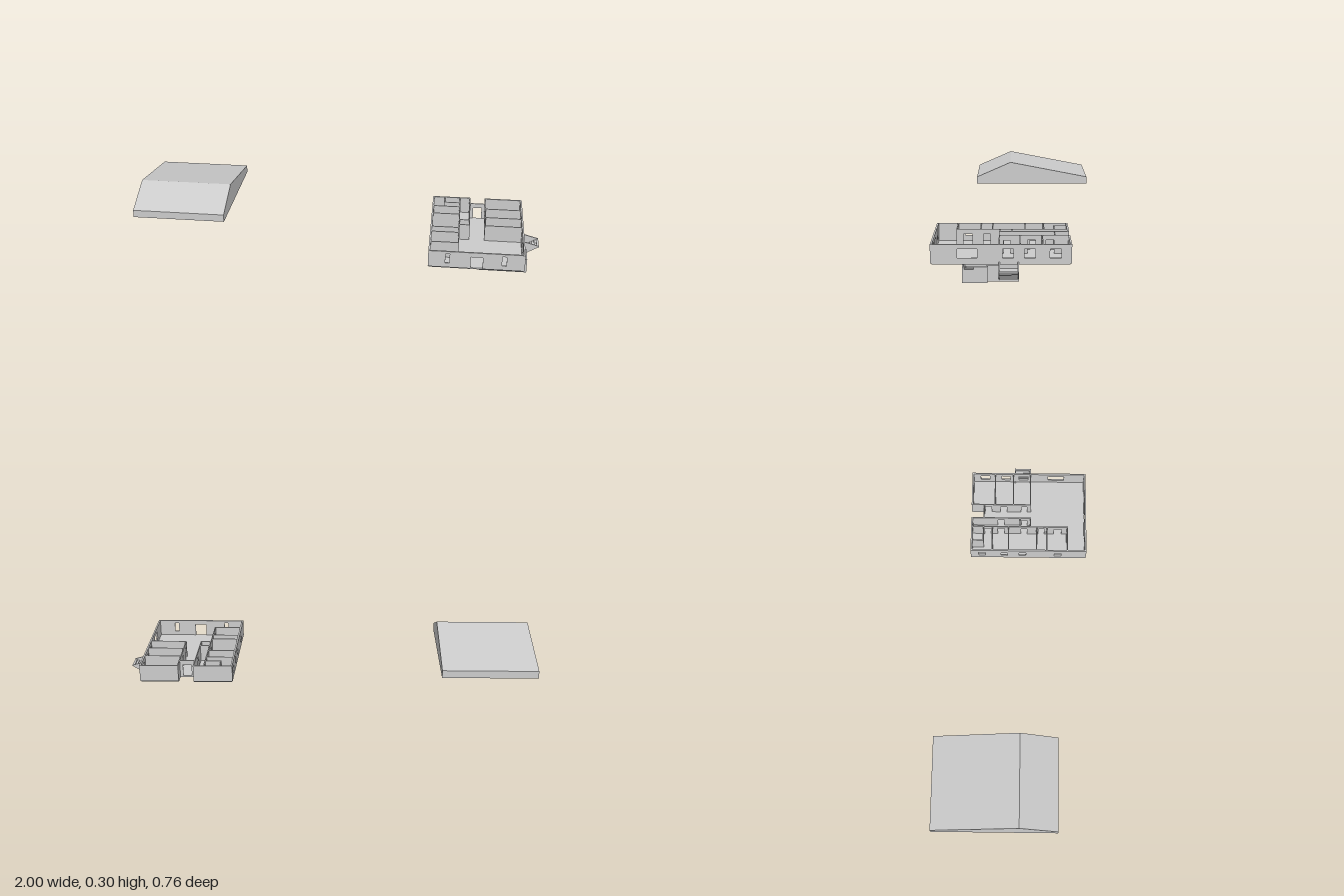
import * as THREE from 'three';

const FLOOR = 0.08, TOP = 0.163, DOOR = 0.14;
const material = new THREE.MeshStandardMaterial({ color: 0xcccccc, flatShading: true });

function add(parent, name, geometry) {
  const mesh = new THREE.Mesh(geometry, material);
  mesh.name = name;
  parent.add(mesh);
  return mesh;
}

function box(parent, name, x0, x1, y0, y1, z0, z1) {
  const mesh = add(parent, name, new THREE.BoxGeometry(x1 - x0, y1 - y0, z1 - z0));
  mesh.position.set((x0 + x1) / 2, (y0 + y1) / 2, (z0 + z1) / 2);
  return mesh;
}

function polygon(points) {
  return new THREE.Shape(points.map(([a, b]) => new THREE.Vector2(a, b)));
}

const extrude = (shape, depth) => new THREE.ExtrudeGeometry(shape, { depth, bevelEnabled: false });

// Upright wall along x or z, starting at coordinate `at` and `thick` deep.
// doors: [start, end], cut from the floor; windows: [start, end, sill, head]
function wall(parent, name, axis, from, to, at, thick, { doors = [], windows = [], y0 = FLOOR, y1 = TOP } = {}) {
  const outline = [[from, y0]];
  for (const [a, b] of [...doors].sort((p, q) => p[0] - q[0])) {
    outline.push([a, y0], [a, DOOR], [b, DOOR], [b, y0]);
  }
  outline.push([to, y0], [to, y1], [from, y1]);
  const shape = polygon(outline);
  for (const [a, b, s, h] of windows) {
    shape.holes.push(polygon([[a, s], [a, h], [b, h], [b, s]]));
  }
  const mesh = add(parent, name, extrude(shape, thick));
  if (axis === 'z') {
    mesh.rotation.y = -Math.PI / 2;
    mesh.position.x = at + thick;
  } else {
    mesh.position.z = at;
  }
  return mesh;
}

// Roof set down beside the house
function buildRoof() {
  const roof = new THREE.Group();
  roof.name = 'roof';
  const profile = polygon([[-0.38, 0.18], [0.225, 0.18], [0.225, 0.217], [0.04, 0.298], [-0.38, 0.217]]);
  const mesh = add(roof, 'roofBody', extrude(profile, 0.455));
  mesh.rotation.y = -Math.PI / 2;
  mesh.position.x = -0.545;
  return roof;
}

function buildHouse() {
  const house = new THREE.Group();
  house.name = 'house';
  const W = 0.465, E = 0.919, N = -0.227, S = 0.376, T = 0.008, P = 0.005;
  const HW = 0.652, HE = 0.73, RECESS = -0.163;   // hall sides and recessed back entrance

  // Floor slab with a notch at the back entrance
  const slab = add(house, 'floor', extrude(polygon([
    [0.469, -0.37], [0.915, -0.37], [0.915, 0.22], [HE, 0.22], [HE, -RECESS],
    [HW + P, -RECESS], [HW + P, 0.22], [0.469, 0.22]]), 0.007));
  slab.rotation.x = -Math.PI / 2;
  slab.position.y = 0.074;

  // Outer walls
  wall(house, 'frontWall', 'x', W, E, S - T, T, {
    doors: [[0.665, 0.722]],
    windows: [[0.546, 0.566, 0.102, 0.15], [0.812, 0.833, 0.102, 0.15]],
  });
  wall(house, 'leftWall', 'z', N, S, E - T, T, {
    windows: [[0.176, 0.261], [0.022, 0.069], [-0.071, -0.024], [-0.182, -0.134]].map(w => [...w, 0.103, 0.142]),
  });
  wall(house, 'rightWall', 'z', N, S, W, T, {
    windows: [[0.21, 0.245], [0.026, 0.061], [-0.069, -0.034], [-0.185, -0.15]].map(w => [...w, 0.106, 0.136]),
  });
  wall(house, 'backWallRight', 'x', W, HW + P, N, T);
  wall(house, 'backWallLeft', 'x', HE, E, N, T);
  wall(house, 'backEntranceWall', 'x', HW, HE + P, RECESS, P, { doors: [[0.673, 0.715]] });

  // Long inner walls with doorways
  wall(house, 'rightRoomsWall', 'z', N, 0.277, 0.602, P, {
    doors: [[0.207, 0.248], [0.126, 0.158], [0.035, 0.066], [-0.088, -0.052], [-0.156, -0.124]],
  });
  wall(house, 'hallRightWall', 'z', N, 0.085, HW, P, { doors: [[0.036, 0.066], [-0.088, -0.052]] });
  wall(house, 'hallLeftWall', 'z', N, 0.085, HE, P, {
    doors: [[0.035, 0.066], [-0.075, -0.04], [-0.156, -0.122]],
  });

  // Cross partitions
  for (const z of [0.275, 0.168, 0.115, -0.033, -0.118]) {
    wall(house, 'rightPartition', 'x', W, 0.607, z, P);
  }
  for (const z of [0.081, -0.01, -0.107]) wall(house, 'leftPartition', 'x', HE, E, z, P);
  for (const z of [0.081, 0.027]) wall(house, 'closetPartition', 'x', 0.602, HW + P, z, P);
  wall(house, 'bathPartition', 'x', 0.523, 0.607, -0.165, P);
  wall(house, 'bathSideWall', 'z', N, -0.16, 0.523, P);
  return house;
}

function buildBasement() {
  const base = new THREE.Group();
  base.name = 'basement';
  const H = 0.07, T = 0.006;
  const low = { y0: 0, y1: H };
  box(base, 'basementFloor', 0.705, 0.917, 0, 0.007, 0, 0.24);
  box(base, 'bayFloor', 0.917, 0.937, 0, 0.007, 0.132, 0.24);
  wall(base, 'basementFrontWall', 'x', 0.705, 0.937, 0.234, T, low);
  wall(base, 'basementBackWall', 'x', 0.705, 0.917, -0.002, T, low);
  wall(base, 'basementRightWall', 'z', 0, 0.24, 0.705, T, low);
  wall(base, 'basementLeftWall', 'z', 0.084, 0.138, 0.911, T, low);
  wall(base, 'bayReturnWall', 'x', 0.911, 0.937, 0.132, T, low);
  wall(base, 'bayWall', 'z', 0.132, 0.24, 0.931, T, { ...low, windows: [[0.19, 0.23, 0.058, 0.066]] });

  // Outside stair leading down into the basement, with sloping cheeks
  const stair = new THREE.Group();
  stair.name = 'basementStair';
  const steps = 9, run = 0.095 / steps, rise = 0.058 / steps;
  const upper = [], under = [];
  for (let i = 0; i < steps; i++) {
    const x = 0.905 + i * run, y = 0.005 + i * rise;
    upper.push([x, y], [x, y + rise]);
    under.push([x + run, y], [x + run, y + rise * 0.95]);
  }
  const tread = polygon([...upper, [1, 0.063], ...under.reverse().slice(1)]);
  add(stair, 'steps', extrude(tread, 0.08)).position.z = 0.002;
  const cheek = polygon([[0.905, 0.005], [0.94, 0.025], [1, 0.06], [1, 0.064], [0.92, 0.086], [0.905, 0.086]]);
  for (const z of [-0.002, 0.079]) add(stair, 'stairCheek', extrude(cheek, T)).position.z = z;
  base.add(stair);
  return base;
}

export function createModel() {
  const model = new THREE.Group();
  model.name = 'houseWithRoofBeside';
  model.add(buildRoof(), buildHouse(), buildBasement());
  return model;
}
